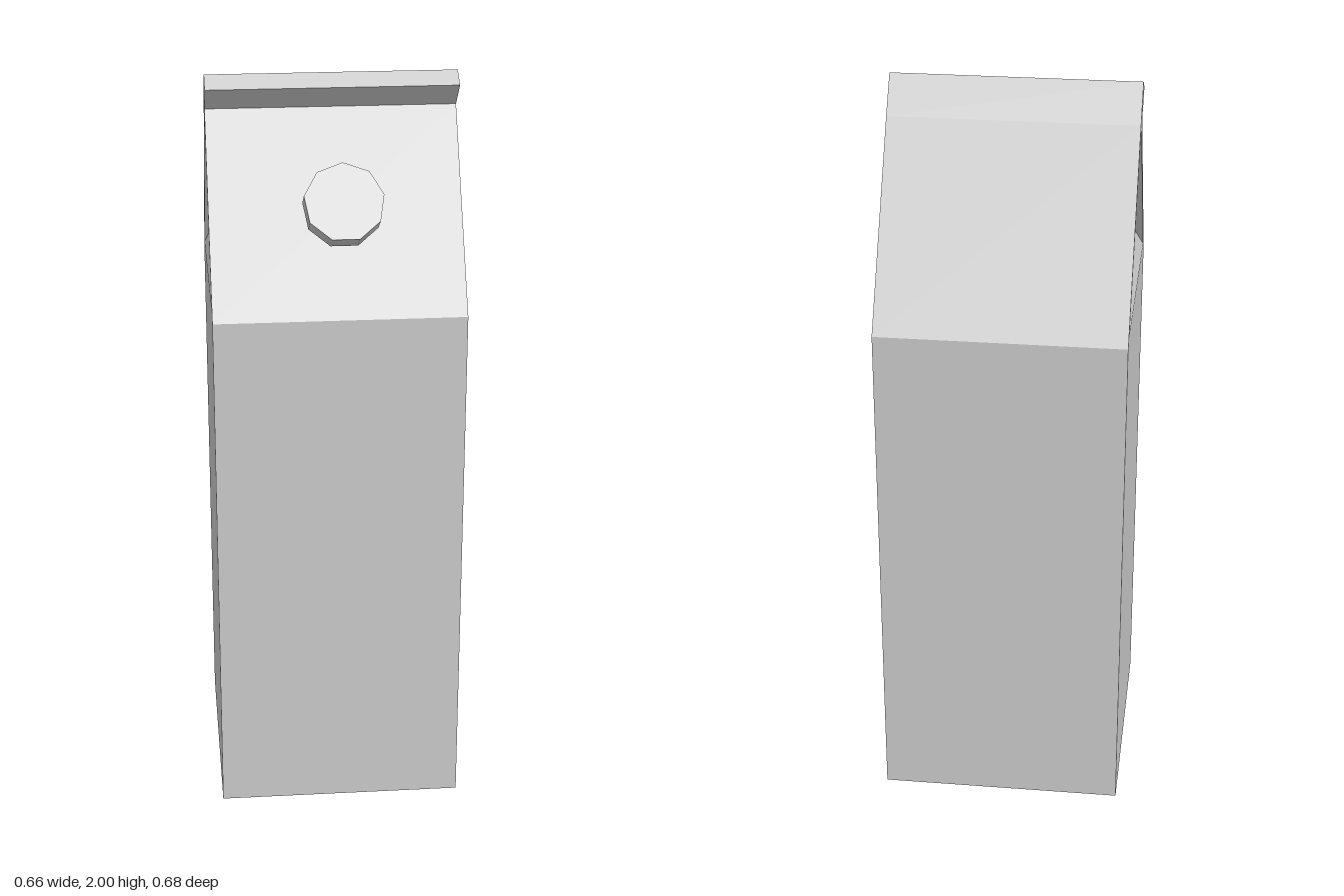
import * as THREE from 'three';

const HALF = 0.33; // half width of the carton

function grey(flatShading) {
  return new THREE.MeshStandardMaterial({ color: 0xcccccc, flatShading });
}

function addMesh(parent, name, geometry, flat = true) {
  const mesh = new THREE.Mesh(geometry, grey(flat));
  mesh.name = name;
  parent.add(mesh);
  return mesh;
}

// Stacks rectangular sections [y, half width, front z, back z] into a closed solid
function loftRectangles(sections) {
  const points = [];
  const index = [];
  for (const [y, w, front, back] of sections) {
    points.push(-w, y, front, w, y, front, w, y, back, -w, y, back);
  }
  for (let s = 0; s < sections.length - 1; s++) {
    for (let i = 0; i < 4; i++) {
      const a = s * 4 + i, b = s * 4 + (i + 1) % 4;
      index.push(a, b, b + 4, a, b + 4, a + 4);
    }
  }
  const t = (sections.length - 1) * 4;
  index.push(0, 3, 2, 0, 2, 1, t, t + 1, t + 2, t, t + 2, t + 3);
  const indexed = new THREE.BufferGeometry();
  indexed.setAttribute('position', new THREE.Float32BufferAttribute(points, 3));
  indexed.setIndex(index);
  const geometry = indexed.toNonIndexed();
  geometry.computeVertexNormals();
  return geometry;
}

export function createModel() {
  const carton = new THREE.Group();
  carton.name = 'carton';

  // Body, with side gussets folding inward under the roof
  addMesh(carton, 'bodyWithGussets', loftRectangles([
    [0, HALF, 0.325, -0.34],
    [1.42, HALF, 0.325, -0.34],
    [1.44, HALF, 0.302, -0.317],
    [1.885, 0.15, 0.005, -0.025],
  ]));

  // Thin roof panels and folded-over top seam, as one profile of [z, y]
  const profile = [
    [0.325, 1.42], [0.02, 1.905], [0.085, 1.97], [0.038, 2.0], [-0.03, 1.905],
    [-0.34, 1.42], [-0.322, 1.42], [-0.025, 1.885], [0.005, 1.885], [0.307, 1.42],
  ];
  const shape = new THREE.Shape(profile.map(([z, y]) => new THREE.Vector2(-z, y)));
  const roof = new THREE.ExtrudeGeometry(shape, { depth: HALF * 2, bevelEnabled: false });
  roof.rotateY(Math.PI / 2).translate(-HALF, 0, 0);
  addMesh(carton, 'roofPanels', roof);

  // Nine-sided screw cap on a neck, square to the front roof panel
  const spout = new THREE.Group();
  spout.name = 'spout';
  spout.position.set(0.012, 1.69, 0.231);
  spout.rotation.x = 1.01;
  carton.add(spout);
  const nineSided = (radius, height) =>
    new THREE.CylinderGeometry(radius, radius, height, 9, 1, false, Math.PI);
  addMesh(spout, 'cap', nineSided(0.104, 0.064), false).position.y = 0.032;
  addMesh(spout, 'neck', nineSided(0.05, 0.075), false).position.y = -0.0325;

  return carton;
}
